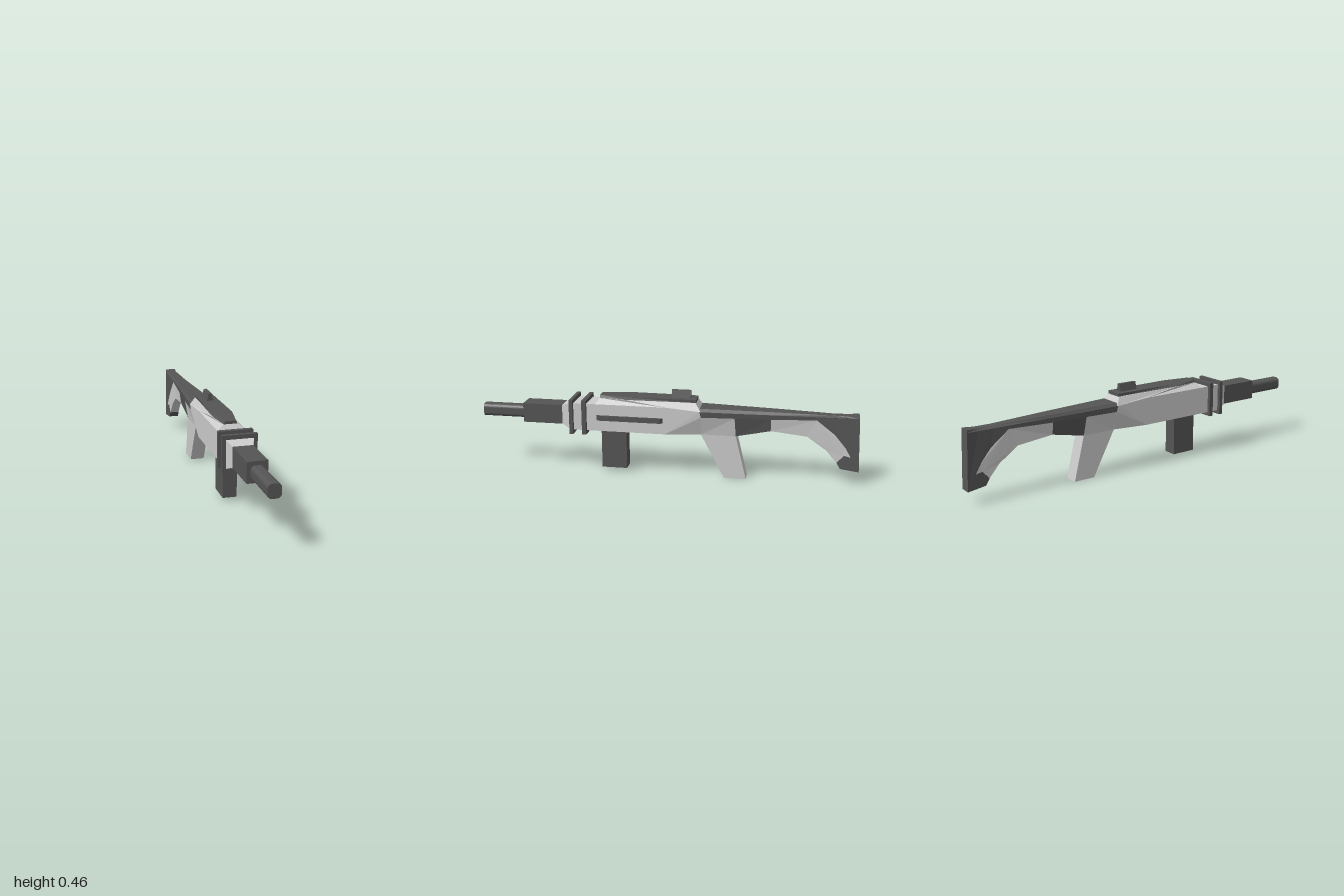
import * as THREE from 'three';

const light = new THREE.MeshStandardMaterial({ color: 0xcccccc, flatShading: true });
const dark = new THREE.MeshStandardMaterial({ color: 0x555555, flatShading: true });

// Symmetric solid from a side profile: each point is [z, y, half width in x].
function solid(profile) {
  const flat = p => p.map(([z, y]) => new THREE.Vector2(z, y));
  const pts = THREE.ShapeUtils.isClockWise(flat(profile)) ? [...profile].reverse() : profile;
  const out = [];
  const put = (i, side) => out.push(side * pts[i][2], pts[i][1], pts[i][0]);
  for (const [a, b, c] of THREE.ShapeUtils.triangulateShape(flat(pts), [])) {
    put(a, 1); put(c, 1); put(b, 1);
    put(a, -1); put(b, -1); put(c, -1);
  }
  pts.forEach((_, i) => {
    const j = (i + 1) % pts.length;
    put(i, 1); put(j, 1); put(i, -1);
    put(j, 1); put(j, -1); put(i, -1);
  });
  const geo = new THREE.BufferGeometry();
  geo.setAttribute('position', new THREE.Float32BufferAttribute(out, 3));
  geo.computeVertexNormals();
  return geo;
}

// Side outline of a box between two z and two y values.
const block = (z0, z1, y0, y1, w) => [[z0, y0, w], [z1, y0, w], [z1, y1, w], [z0, y1, w]];

export function createModel() {
  const group = new THREE.Group();
  const add = (name, geo, mat) => {
    const mesh = new THREE.Mesh(geo, mat);
    mesh.name = name;
    group.add(mesh);
    return mesh;
  };

  // Barrel: rounded square tube
  const w = 0.032, h = 0.034, r = 0.021, s = new THREE.Shape();
  s.absarc(w - r, h - r, r, 0, Math.PI / 2);
  s.absarc(r - w, h - r, r, Math.PI / 2, Math.PI);
  s.absarc(r - w, r - h, r, Math.PI, Math.PI * 1.5);
  s.absarc(w - r, r - h, r, Math.PI * 1.5, Math.PI * 2);
  const tube = new THREE.ExtrudeGeometry(s, { depth: 0.24, bevelEnabled: false, curveSegments: 4 });
  add('barrel', tube.translate(0, 0.306, 0.76), dark);
  add('barrelShroud', solid(block(0.55, 0.77, 0.257, 0.36, 0.05)), dark);

  // Front taper and the two collars
  add('frontTaper', solid([[0.555, 0.257, 0.05], [0.555, 0.36, 0.05], [0.505, 0.38, 0.07], [0.505, 0.235, 0.07]]), light);
  for (const [z0, z1] of [[0.488, 0.508], [0.417, 0.44]])
    add('collar', solid(block(z0, z1, 0.215, 0.4, 0.087)), dark);

  // Receiver: straight front, rear narrowing towards the grip, sloped top
  add('receiver', solid(block(0, 0.505, 0.235, 0.38, 0.07)), light);
  add('receiverRear', solid([[0, 0.235, 0.07], [0, 0.38, 0.07], [-0.18, 0.365, 0.07],
    [-0.187, 0.335, 0.068], [-0.187, 0.235, 0.038]]), light);
  add('receiverTop', solid([[0.37, 0.38, 0.07], [0, 0.38, 0.07], [-0.185, 0.365, 0.07],
    [-0.158, 0.406, 0.05], [0.2, 0.406, 0.056], [0.352, 0.406, 0.038]]), light);
  add('topCover', solid([[0.352, 0.405, 0.035], [0.2, 0.405, 0.053], [-0.16, 0.405, 0.046],
    [-0.16, 0.421, 0.046], [0.2, 0.421, 0.053], [0.352, 0.421, 0.028]]), dark);
  add('sight', solid([[-0.027, 0.42, 0.017], [-0.027, 0.46, 0.008],
    [-0.127, 0.46, 0.008], [-0.127, 0.42, 0.017]]), dark);

  // Side strip on the left, built lying down and turned outwards
  const strip = add('sideStrip', solid([[0.37, 0.065, 0.013], [0.35, 0.083, 0.013],
    [0.025, 0.083, 0.013], [0.005, 0.065, 0.013]]), dark);
  strip.rotation.z = -Math.PI / 2;
  strip.position.y = 0.308;

  add('magazine', solid(block(0.211, 0.346, 0.022, 0.237, 0.036)), dark);

  // Grip: flared root and straight handle
  add('gripRoot', solid([[-0.185, 0.335, 0.068], [-0.185, 0.235, 0.038],
    [-0.367, 0.235, 0.038], [-0.36, 0.335, 0.056]]), light);
  add('grip', solid([[-0.185, 0.236, 0.038], [-0.31, 0.002, 0.038],
    [-0.425, 0.002, 0.038], [-0.367, 0.236, 0.038]]), light);

  // Stock: chamfered top ridge, side body, link behind the grip, butt
  add('stockRidge', solid([[-0.18, 0.365, 0.07], [-0.36, 0.362, 0.058], [-0.545, 0.36, 0.045],
    [-0.85, 0.355, 0.024], [-0.93, 0.355, 0.024], [-0.987, 0.358, 0.03], [-0.986, 0.371, 0.028],
    [-0.93, 0.367, 0.022], [-0.85, 0.367, 0.02], [-0.545, 0.374, 0.035], [-0.18, 0.379, 0.056]]), dark);
  add('stockBody', solid([[-0.18, 0.365, 0.07], [-0.185, 0.335, 0.068], [-0.36, 0.335, 0.056],
    [-0.545, 0.335, 0.044], [-0.775, 0.34, 0.029], [-0.85, 0.355, 0.024],
    [-0.545, 0.36, 0.045], [-0.36, 0.362, 0.058]]), dark);
  add('stockLink', solid([[-0.36, 0.335, 0.056], [-0.367, 0.235, 0.038],
    [-0.545, 0.272, 0.036], [-0.545, 0.335, 0.044]]), dark);
  add('butt', solid([[-0.775, 0.34, 0.029], [-0.87, 0.265, 0.025], [-0.925, 0.2, 0.026],
    [-0.955, 0.15, 0.028], [-0.92, 0.157, 0.026], [-0.885, 0.117, 0.026], [-0.905, 0.085, 0.027],
    [-1, 0.073, 0.03], [-0.987, 0.358, 0.03], [-0.93, 0.355, 0.024], [-0.85, 0.355, 0.024]]), dark);
  add('stockPanel', solid([[-0.545, 0.335, 0.044], [-0.545, 0.272, 0.036], [-0.73, 0.25, 0.027],
    [-0.83, 0.18, 0.025], [-0.885, 0.117, 0.026], [-0.92, 0.157, 0.026], [-0.955, 0.15, 0.028],
    [-0.925, 0.2, 0.026], [-0.87, 0.265, 0.025], [-0.775, 0.34, 0.029]]), light);

  return group;
}
